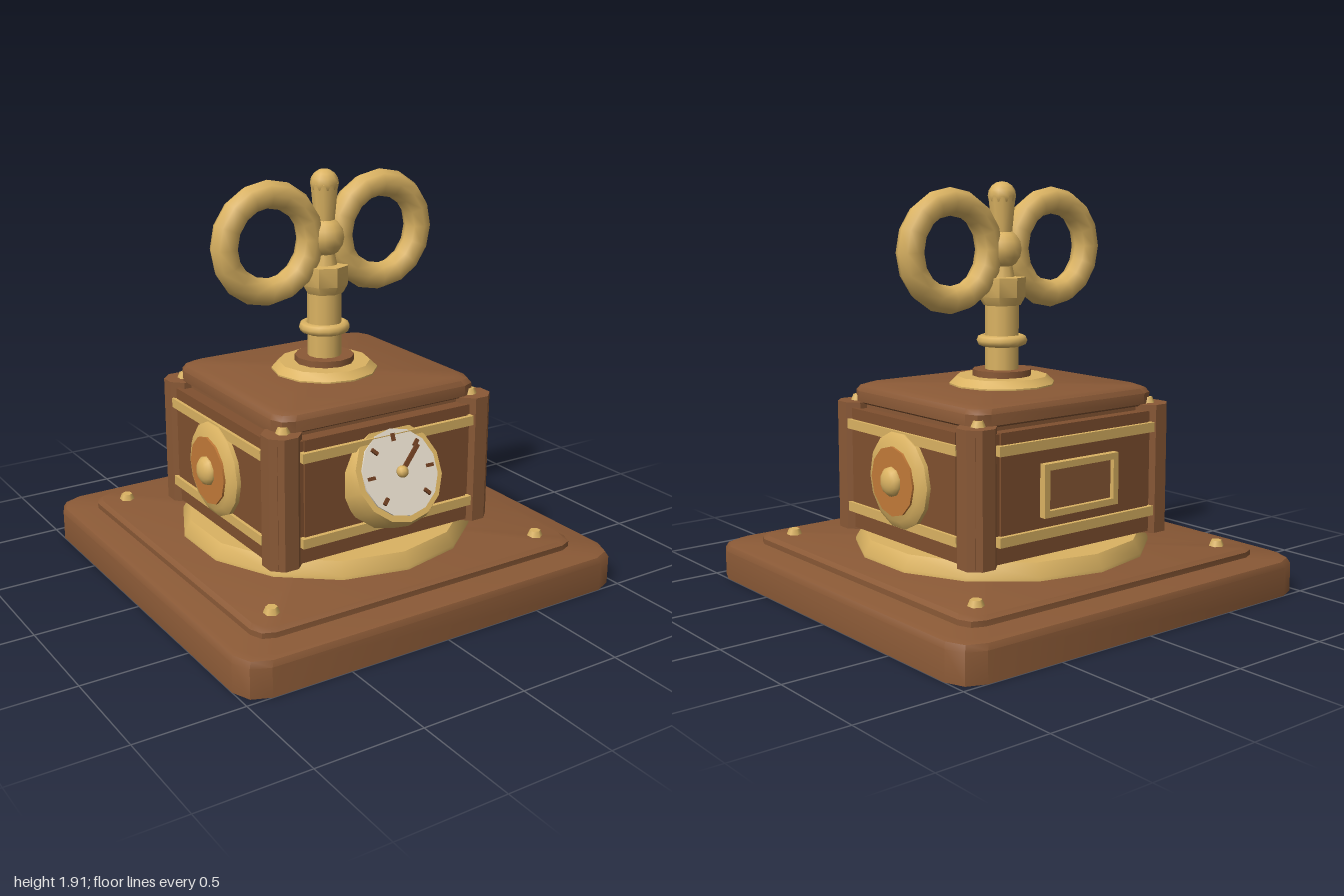
import * as THREE from 'three';
import { toCreasedNormals } from 'three/addons/utils/BufferGeometryUtils.js';

const mat = (name, color) => {
  const m = new THREE.MeshStandardMaterial({ color });
  m.name = name;
  return m;
};

// Outline of a rectangle with rounded corners, two facets per corner
function outline(w, d, r) {
  const pts = [];
  [[1, 1], [-1, 1], [-1, -1], [1, -1]].forEach(([sx, sz], q) => {
    for (let k = 0; k <= 2; k++) {
      const a = (q + k / 2) * Math.PI / 2;
      pts.push([sx * (w - r) + r * Math.cos(a), sz * (d - r) + r * Math.sin(a)]);
    }
  });
  return pts;
}

// Stack of rounded rectangles, rings = [height, inset], closed top and bottom
function slab(w, d, r, rings) {
  const pos = [];
  const loops = rings.map(([y, i]) => outline(w - i, d - i, r).map(p => [p[0], y, p[1]]));
  const n = loops[0].length;
  const tri = (...v) => v.forEach(p => pos.push(...p));
  for (let i = 0; i < n; i++) {
    const j = (i + 1) % n;
    for (let k = 0; k < loops.length - 1; k++) {
      const a = loops[k], b = loops[k + 1];
      tri(a[i], b[i], b[j]);
      tri(a[i], b[j], a[j]);
    }
    const bot = loops[0], top = loops[loops.length - 1];
    tri([0, bot[0][1], 0], bot[i], bot[j]);
    tri([0, top[0][1], 0], top[j], top[i]);
  }
  const g = new THREE.BufferGeometry();
  g.setAttribute('position', new THREE.Float32BufferAttribute(pos, 3));
  return toCreasedNormals(g, 0.6);
}

export function createModel() {
  const model = new THREE.Group();
  model.name = 'windUpBox';
  const wood = mat('wood', 0x8a5936);
  const panelWood = mat('panel wood', 0x80502f);
  const gold = mat('brass', 0xdbb362);
  const copper = mat('copper', 0xc27a38);
  const cream = mat('cream', 0xe6dccb);
  const dark = mat('dark wood', 0x704022);

  const add = (name, geo, m, x = 0, y = 0, z = 0, parent = model) => {
    const mesh = new THREE.Mesh(geo, m);
    mesh.name = name;
    mesh.position.set(x, y, z);
    parent.add(mesh);
    return mesh;
  };
  const box = (w, h, d) => new THREE.BoxGeometry(w, h, d);
  const cyl = (rt, rb, h, n) => new THREE.CylinderGeometry(rt, rb, h, n);
  const lathe = (pts, n) => toCreasedNormals(
    new THREE.LatheGeometry(pts.map(p => new THREE.Vector2(...p)), n), 0.7);
  const corners = [[1, 1], [-1, 1], [-1, -1], [1, -1]];

  // Stepped base with corner rivets and round brass foot
  add('base', slab(1, 1, 0.12, [[0, 0], [0.135, 0], [0.16, 0.012], [0.17, 0.035]]), wood);
  add('plinth', slab(0.855, 0.855, 0.08, [[0.165, 0], [0.195, 0], [0.21, 0.02]]), wood);
  add('footDisc', lathe([[0, 0.2], [0.7, 0.2], [0.7, 0.225], [0.665, 0.285], [0, 0.285]], 14), gold);
  for (const [sx, sz] of corners)
    add('baseRivet', cyl(0.026, 0.038, 0.03, 6), gold, sx * 0.72, 0.222, sz * 0.72);

  // Body with octagonal corner pillars
  add('body', box(1.14, 0.57, 1.05), panelWood, 0, 0.57, 0);
  add('bodyTop', box(1.02, 0.05, 0.92), wood, 0, 0.865, 0);
  for (const [sx, sz] of corners) {
    const g = toCreasedNormals(cyl(0.09, 0.09, 0.61, 8).rotateY(Math.PI / 8), 0.3);
    add('pillar', g, wood, sx * 0.513, 0.58, sz * 0.463);
    add('pillarRivet', cyl(0.022, 0.035, 0.03, 6), gold, sx * 0.505, 0.897, sz * 0.463);
  }

  // Raised panels and brass rails on the four sides
  for (const s of [1, -1]) {
    add('endPanel', box(0.88, 0.47, 0.02), panelWood, 0, 0.625, s * 0.525);
    add('sidePanel', box(0.02, 0.47, 0.8), panelWood, s * 0.57, 0.625, 0);
    for (const y of [0.388, 0.785]) {
      add('endRail', box(0.92, 0.045, 0.04), gold, 0, y, s * 0.535);
      add('sideRail', box(0.04, 0.045, 0.84), gold, s * 0.575, y, 0);
    }
  }

  // Side medallions facing outward
  for (const s of [1, -1]) {
    const medal = new THREE.Group();
    medal.name = 'sideMedallion';
    medal.position.set(s * 0.575, 0.585, 0);
    medal.rotation.z = -s * Math.PI / 2;
    model.add(medal);
    add('medallionRim', lathe([[0, 0], [0.222, 0], [0.222, 0.025], [0.185, 0.05], [0, 0.05]], 14), gold, 0, 0, 0, medal);
    add('medallionPlate', cyl(0.16, 0.16, 0.012, 12), copper, 0, 0.054, 0, medal);
    add('medallionKnob', new THREE.SphereGeometry(0.07, 10, 5, 0, Math.PI * 2, 0, Math.PI / 2)
      .scale(1, 0.65, 1), gold, 0, 0.057, 0, medal);
  }

  // Rectangular frame on the back
  for (const s of [1, -1]) {
    add('backFrameBar', box(0.44, 0.03, 0.035), gold, 0, 0.58 + s * 0.105, -0.55);
    add('backFramePost', box(0.03, 0.24, 0.035), gold, s * 0.205, 0.58, -0.55);
  }
  add('backPlate', box(0.4, 0.2, 0.012), wood, 0, 0.58, -0.54);

  // Tilted dial on the front
  const dial = new THREE.Group();
  dial.name = 'dial';
  dial.position.set(0, 0.65, 0.618);
  dial.rotation.x = -0.44;
  model.add(dial);
  add('dialCase', lathe([[0, -0.147], [0.24, -0.147], [0.24, -0.03], [0.225, 0], [0, 0]], 14)
    .rotateX(Math.PI / 2), gold, 0, 0, 0, dial);
  add('dialFace', cyl(0.197, 0.197, 0.009, 14).rotateX(Math.PI / 2), cream, 0, 0, 0.004, dial);
  for (let k = -3; k <= 3; k++) {
    const a = k * Math.PI / 4;
    const tick = add('dialTick', box(0.016, 0.035, 0.016), dark,
      Math.sin(a) * 0.157, Math.cos(a) * 0.157, 0.012, dial);
    tick.rotation.z = -a;
  }
  const hand = add('dialHand', box(0.02, 0.17, 0.012), dark, 0.05, 0.045, 0.022, dial);
  hand.rotation.z = -0.84;
  add('dialHub', new THREE.SphereGeometry(0.028, 8, 6), gold, 0, 0, 0.025, dial);

  // Lid and brass seat of the key
  add('lid', slab(0.535, 0.49, 0.08, [[0.875, 0.015], [0.885, 0], [0.935, 0], [0.957, 0.014], [0.97, 0.045]]), wood);
  add('keySeat', lathe([[0, 0.96], [0.25, 0.96], [0.25, 0.977], [0.215, 1.01], [0, 1.01]], 12), gold);
  add('keyCollar', cyl(0.14, 0.14, 0.04, 12), wood, 0, 1.02, 0);

  // Winding key
  add('keyShaft', cyl(0.08, 0.08, 0.38, 12), gold, 0, 1.2, 0);
  add('keyRing', new THREE.TorusGeometry(0.093, 0.027, 8, 16).rotateX(Math.PI / 2), gold, 0, 1.175, 0);
  add('keySocket', lathe([[0, 1.34], [0.088, 1.34], [0.11, 1.38], [0.112, 1.47], [0, 1.475]], 8), gold);
  add('keyNeck', cyl(0.045, 0.065, 0.1, 10), gold, 0, 1.5, 0);
  add('keyBall', new THREE.SphereGeometry(0.095, 12, 8), gold, 0, 1.6, 0);
  add('keyStem', cyl(0.065, 0.048, 0.18, 10), gold, 0, 1.755, 0);
  add('keyTip', new THREE.SphereGeometry(0.066, 10, 8), gold, 0, 1.845, 0);
  for (const s of [1, -1])
    add('keyBow', new THREE.TorusGeometry(0.222, 0.064, 8, 16), gold, s * 0.3, 1.6, 0);

  return model;
}
